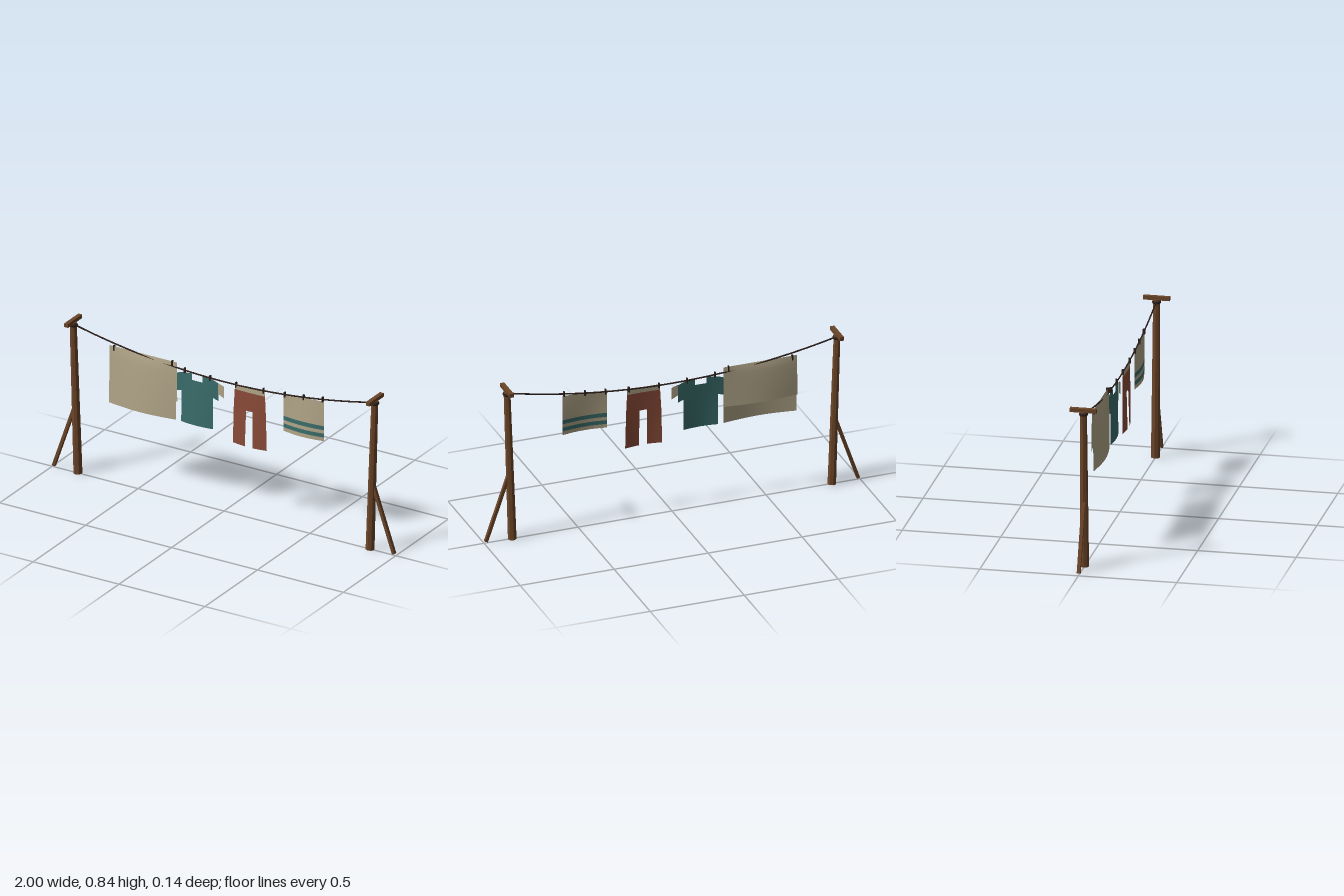
import * as THREE from 'three';

const mat = (color, extra = {}) => new THREE.MeshStandardMaterial({ color, ...extra });
const cloth = (color) => mat(color, { side: THREE.DoubleSide });
const WOOD = mat(0x6b4528, { flatShading: true });
const DARK = mat(0x2e211c);
const LINEN = cloth(0xb3a78a), TEAL = cloth(0x3a6e6c), RUST = cloth(0x8c4c39);

const ropeY = (x) => 0.709 + 0.1 * (x / 0.87) ** 2;

function add(parent, name, geometry, material) {
  const mesh = new THREE.Mesh(geometry, material);
  mesh.name = name;
  parent.add(mesh);
  return mesh;
}

// Straight member between two points
function between(mesh, a, b) {
  mesh.position.copy(a).add(b).multiplyScalar(0.5);
  mesh.quaternion.setFromUnitVectors(new THREE.Vector3(0, 1, 0), b.clone().sub(a).normalize());
}

// Four-cornered cloth panel (top left, top right, bottom left, bottom right) with depth z(x, y)
function panel(parent, name, material, [tl, tr, bl, br], depth) {
  const g = new THREE.PlaneGeometry(1, 1, 12, 10);
  const p = g.attributes.position;
  const mix = THREE.MathUtils.lerp;
  for (let i = 0; i < p.count; i++) {
    const u = p.getX(i) + 0.5, v = 0.5 - p.getY(i);
    const x = mix(mix(tl[0], tr[0], u), mix(bl[0], br[0], u), v);
    const y = mix(mix(tl[1], tr[1], u), mix(bl[1], br[1], u), v);
    p.setXYZ(i, x, y, depth(x, y));
  }
  g.computeVertexNormals();
  return add(parent, name, g, material);
}

const rect = (x0, x1, y0, y1) => [[x0, y1], [x1, y1], [x0, y0], [x1, y0]];

// Gentle billow shared by all panels of one garment
function billow(x0, x1, y0, y1, amount) {
  return (x, y) => {
    const u = THREE.MathUtils.clamp((x - x0) / (x1 - x0), 0, 1);
    const v = THREE.MathUtils.clamp((y1 - y) / (y1 - y0), 0, 1);
    return amount * Math.sin(Math.PI * u) * (0.15 + 0.85 * v);
  };
}

function subgroup(parent, name) {
  const g = new THREE.Group();
  g.name = name;
  parent.add(g);
  return g;
}

export function createModel() {
  const model = new THREE.Group();
  model.name = 'clothesline';

  // Leaning posts with crossbar, rope binding and brace
  for (const s of [-1, 1]) {
    const end = subgroup(model, s > 0 ? 'leftSupport' : 'rightSupport');
    const foot = new THREE.Vector3(s * 0.85, 0, 0), head = new THREE.Vector3(s * 0.878, 0.822, 0);
    between(add(end, 'post', new THREE.CylinderGeometry(0.018, 0.023, foot.distanceTo(head), 8), WOOD), foot, head);

    const bar = add(end, 'crossbar', new THREE.BoxGeometry(0.022, 0.02, 0.135), WOOD);
    bar.position.set(s * 0.878, 0.828, 0);
    bar.rotation.z = -s * 0.034;

    const binding = add(end, 'ropeBinding', new THREE.TorusGeometry(0.0175, 0.0055, 6, 16), DARK);
    binding.rotation.x = Math.PI / 2;
    binding.scale.z = 1.5;
    binding.position.set(s * 0.8775, 0.808, 0);

    const a = new THREE.Vector3(s * 0.99, 0.008, 0), b = new THREE.Vector3(s * 0.868, 0.36, 0);
    between(add(end, 'brace', new THREE.BoxGeometry(0.016, a.distanceTo(b), 0.018), WOOD), a, b);
  }

  // Sagging rope
  const points = [];
  for (let i = 0; i <= 20; i++) {
    const x = -0.875 + 1.75 * i / 20;
    points.push(new THREE.Vector3(x, ropeY(x), 0));
  }
  add(model, 'rope', new THREE.TubeGeometry(new THREE.CatmullRomCurve3(points), 60, 0.004, 6), DARK);

  // Sheet folded over the rope, shorter at the back
  const sheet = subgroup(model, 'sheet');
  const fold = (side) => (x, y) => {
    const u = (x + 0.665) / 0.39, v = Math.max(0, (0.747 - y) / 0.312);
    return side * Math.sqrt(v) * (0.006 + 0.019 * Math.sin(Math.PI * u));
  };
  panel(sheet, 'sheetFront', LINEN, rect(-0.665, -0.275, 0.435, 0.747), fold(1));
  panel(sheet, 'sheetBack', LINEN, rect(-0.665, -0.275, 0.53, 0.747), fold(-1));

  // Shirt with square neck, sleeves and cuffs
  const shirt = subgroup(model, 'shirt');
  const cx = -0.154;
  const shirtDepth = billow(-0.275, -0.033, 0.435, 0.71, 0.014);
  panel(shirt, 'shirtBody', TEAL, rect(cx - 0.092, cx + 0.092, 0.435, 0.675), shirtDepth);
  for (const s of [-1, 1]) {
    const at = (x, y) => [cx + s * x, y];
    // Corners swap sides for the mirrored half so both face the front
    const q = (c) => (s > 0 ? c : [c[1], c[0], c[3], c[2]]);
    panel(shirt, 'shoulder', TEAL, q([at(0.03, 0.71), at(0.092, 0.703), at(0.03, 0.675), at(0.092, 0.675)]), shirtDepth);
    panel(shirt, 'sleeve', TEAL, q([at(0.092, 0.703), at(0.121, 0.692), at(0.092, 0.605), at(0.121, 0.595)]), shirtDepth);
    panel(shirt, 'cuff', LINEN, q([at(0.121, 0.694), at(0.155, 0.682), at(0.121, 0.635), at(0.155, 0.617)]), () => 0.002);
  }

  // Trousers: waistband, hips and two legs
  const trousers = subgroup(model, 'trousers');
  const legDepth = billow(0.05, 0.25, 0.39, 0.715, 0.012);
  panel(trousers, 'waistband', LINEN, rect(0.063, 0.239, 0.685, 0.715), legDepth);
  panel(trousers, 'hips', RUST, [[0.063, 0.685], [0.239, 0.685], [0.057, 0.585], [0.244, 0.585]], legDepth);
  panel(trousers, 'rightLeg', RUST, [[0.057, 0.585], [0.132, 0.585], [0.052, 0.39], [0.128, 0.39]], legDepth);
  panel(trousers, 'leftLeg', RUST, [[0.17, 0.585], [0.244, 0.585], [0.172, 0.39], [0.249, 0.39]], legDepth);

  // Striped towel, built as bands from top to hem
  const towel = subgroup(model, 'towel');
  const towelDepth = billow(0.345, 0.582, 0.525, 0.735, 0.014);
  const edges = [0.735, 0.607, 0.585, 0.566, 0.545, 0.525];
  for (let i = 0; i < 5; i++) {
    const corners = rect(0.346, 0.582, edges[i + 1], edges[i]);
    if (i === 0) { corners[0][1] = 0.73; corners[1][1] = 0.742; }
    panel(towel, i % 2 ? 'towelStripe' : 'towelBand', i % 2 ? TEAL : LINEN, corners, towelDepth);
  }

  // Pegs along the rope
  for (const x of [-0.64, -0.3, -0.228, -0.08, 0.07, 0.23, 0.354, 0.463, 0.574]) {
    const peg = add(model, 'peg', new THREE.BoxGeometry(0.007, 0.028, 0.012), DARK);
    peg.position.set(x, x < -0.25 ? 0.738 : ropeY(x), 0);
  }
  return model;
}
